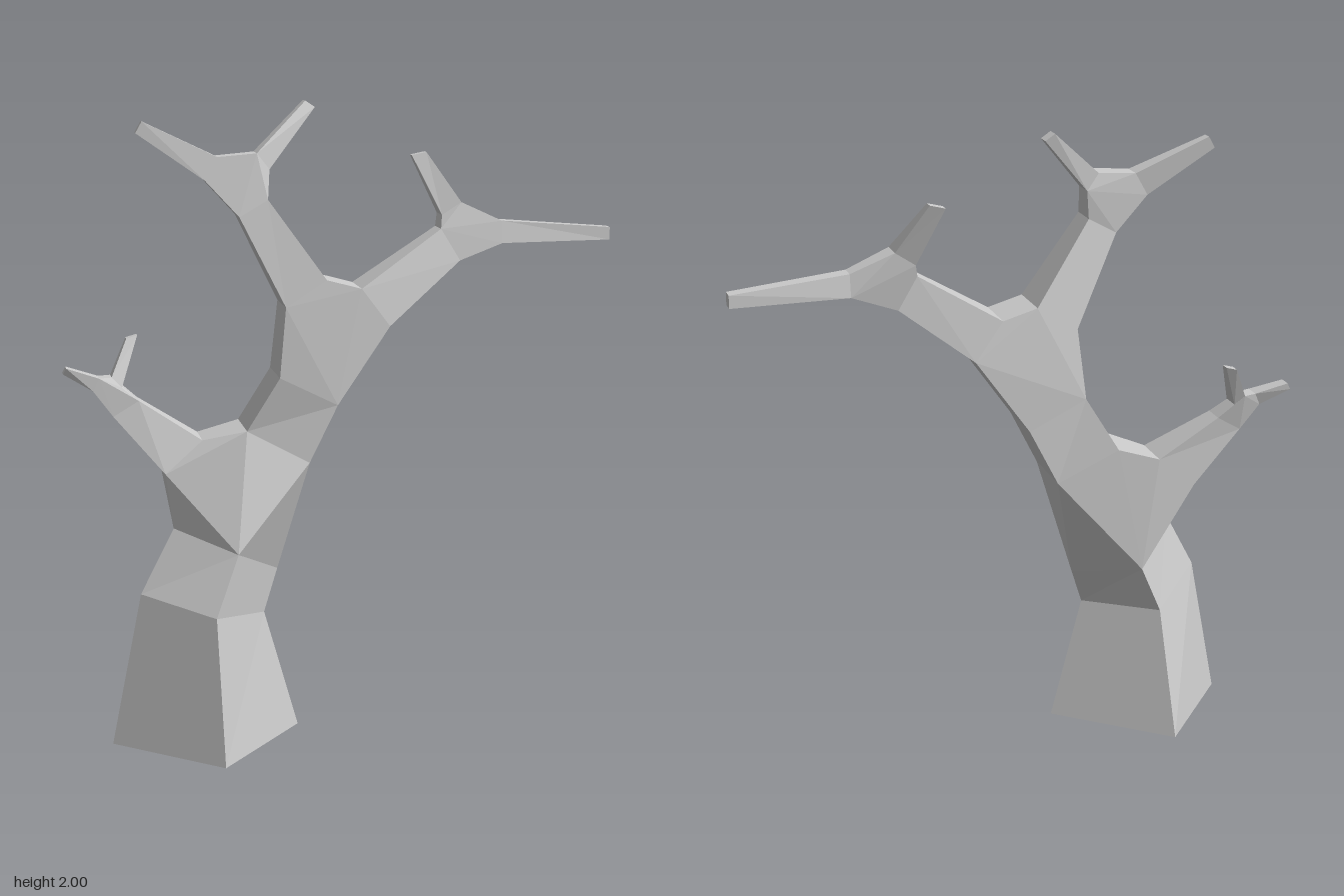
import * as THREE from 'three';
import { ConvexGeometry } from 'three/addons/geometries/ConvexGeometry.js';

const material = new THREE.MeshStandardMaterial({ color: 0xcccccc, flatShading: true });

// Four-sided section between edges a and b, each [x, y, zFront, zBack]
const section = (a, b) => [
  [a[0], a[1], a[2]], [b[0], b[1], b[2]], [b[0], b[1], b[3]], [a[0], a[1], a[3]],
];

// Skin through a list of four-sided sections, with end caps
function limb(name, rings) {
  const positions = [];
  const quad = (a, b, c, d) => positions.push(...a, ...b, ...c, ...a, ...c, ...d);
  for (let k = 0; k < rings.length - 1; k++) {
    for (let i = 0; i < 4; i++) {
      const j = (i + 1) % 4;
      quad(rings[k][i], rings[k][j], rings[k + 1][j], rings[k + 1][i]);
    }
  }
  const first = rings[0], last = rings[rings.length - 1];
  quad(first[3], first[2], first[1], first[0]);
  quad(...last);
  const geometry = new THREE.BufferGeometry();
  geometry.setAttribute('position', new THREE.Float32BufferAttribute(positions, 3));
  geometry.computeVertexNormals();
  const mesh = new THREE.Mesh(geometry, material);
  mesh.name = name;
  return mesh;
}

// Convex joint where sections meet
function fork(name, ...rings) {
  const points = rings.flat().map((p) => new THREE.Vector3(...p));
  const mesh = new THREE.Mesh(new ConvexGeometry(points), material);
  mesh.name = name;
  return mesh;
}

export function createModel() {
  const group = new THREE.Group();
  group.name = 'bareTree';

  // Trunk: corners left, front, right, back
  const base = [[-0.76, 0, 0.02], [-0.44, 0, 0.3], [-0.16, 0.01, -0.02], [-0.49, 0.01, -0.3]];
  const knee = [[-0.66, 0.48, 0], [-0.45, 0.45, 0.21], [-0.27, 0.4, 0], [-0.47, 0.42, -0.19]];
  const neck = [[-0.55, 0.68, -0.03], [-0.37, 0.63, 0.14], [-0.22, 0.53, -0.04], [-0.4, 0.58, -0.2]];

  // Lower fork and upper trunk
  const lowBranch = section([-0.57, 0.85, -0.05, -0.2], [-0.45, 0.95, -0.07, -0.2]);
  const upperTrunk = section([-0.32, 0.99, 0.01, -0.18], [-0.13, 0.89, 0.05, -0.15]);
  const waist = section([-0.22, 1.16, 0.04, -0.15], [-0.04, 1.07, 0.05, -0.14]);

  // Upper fork
  const leftBase = section([-0.2, 1.38, 0.04, -0.12], [-0.07, 1.46, 0.03, -0.12]);
  const rightBase = section([0.04, 1.43, 0.03, -0.12], [0.13, 1.31, 0.03, -0.13]);

  // Ends of the three branches
  const lowEnd = section([-0.72, 1.02, -0.15, -0.2], [-0.64, 1.07, -0.14, -0.21]);
  const leftEnd = section([-0.34, 1.66, 0.03, -0.07], [-0.25, 1.71, 0.02, -0.07]);
  const rightEnd = section([0.31, 1.6, -0.05, -0.13], [0.37, 1.5, -0.04, -0.13]);

  // Twig pairs: base and tip of each
  const lowOuter = section([-0.78, 1.1, -0.17, -0.21], [-0.76, 1.14, -0.17, -0.22]);
  const lowOuterTip = section([-0.87, 1.15, -0.21, -0.24], [-0.86, 1.17, -0.2, -0.24]);
  const lowInner = section([-0.72, 1.14, -0.18, -0.23], [-0.69, 1.11, -0.16, -0.22]);
  const lowInnerTip = section([-0.665, 1.25, -0.25, -0.28], [-0.63, 1.26, -0.25, -0.28]);
  const leftOuter = section([-0.44, 1.77, 0, -0.07], [-0.4, 1.84, -0.01, -0.07]);
  const leftOuterTip = section([-0.64, 1.91, -0.08, -0.11], [-0.62, 1.945, -0.08, -0.11]);
  const leftInner = section([-0.28, 1.85, 0, -0.07], [-0.24, 1.8, -0.01, -0.08]);
  const leftInnerTip = section([-0.11, 2, -0.11, -0.15], [-0.08, 1.98, -0.11, -0.15]);
  const rightInner = section([0.32, 1.64, -0.08, -0.15], [0.38, 1.68, -0.07, -0.14]);
  const rightInnerTip = section([0.245, 1.82, -0.18, -0.21], [0.29, 1.83, -0.17, -0.2]);
  const rightOuter = section([0.51, 1.62, -0.06, -0.11], [0.51, 1.55, -0.05, -0.12]);
  const rightOuterTip = section([0.87, 1.59, -0.07, -0.11], [0.87, 1.55, -0.07, -0.11]);

  group.add(
    limb('trunk', [base, knee, neck]),
    fork('lowerFork', neck, lowBranch, upperTrunk),
    limb('upperTrunk', [upperTrunk, waist]),
    fork('upperFork', waist, leftBase, rightBase),
    limb('lowBranch', [lowBranch, lowEnd]),
    limb('leftBranch', [leftBase, leftEnd]),
    limb('rightBranch', [rightBase, rightEnd]),
    fork('lowTwigFork', lowEnd, lowOuter, lowInner),
    fork('leftTwigFork', leftEnd, leftOuter, leftInner),
    fork('rightTwigFork', rightEnd, rightInner, rightOuter),
    limb('lowOuterTwig', [lowOuter, lowOuterTip]),
    limb('lowInnerTwig', [lowInner, lowInnerTip]),
    limb('leftOuterTwig', [leftOuter, leftOuterTip]),
    limb('leftInnerTwig', [leftInner, leftInnerTip]),
    limb('rightInnerTwig', [rightInner, rightInnerTip]),
    limb('rightOuterTwig', [rightOuter, rightOuterTip]),
  );
  return group;
}
